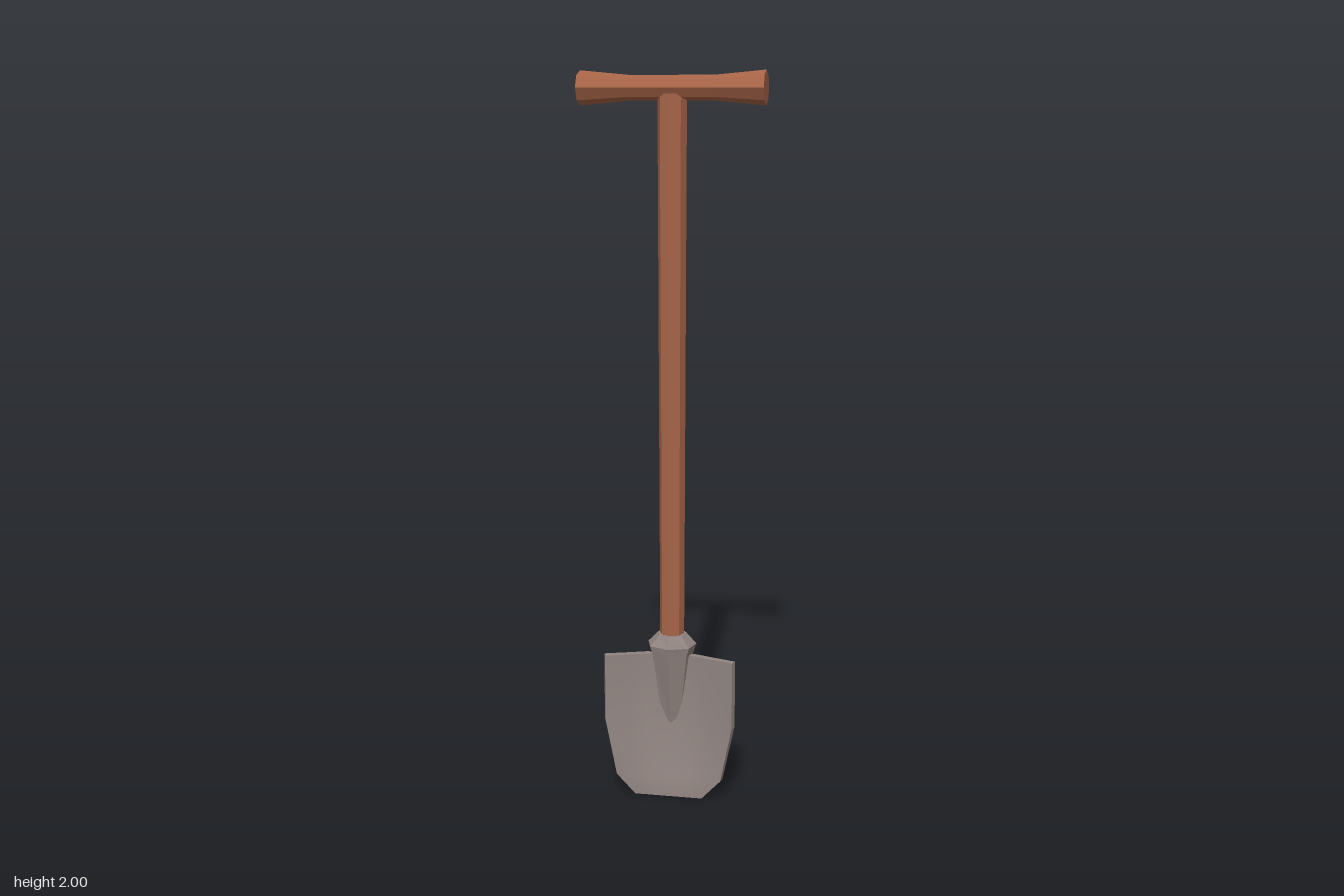
import * as THREE from 'three';

const wood = new THREE.MeshStandardMaterial({ color: 0xa86548 });
wood.name = 'wood';
const steel = new THREE.MeshStandardMaterial({ color: 0x908480 });
steel.name = 'steel';

// Gives every face its own flat normal
function facet(geometry) {
  const g = geometry.index ? geometry.toNonIndexed() : geometry;
  g.computeVertexNormals();
  return g;
}

function fromTriangles(positions, index) {
  const g = new THREE.BufferGeometry();
  g.setAttribute('position', new THREE.Float32BufferAttribute(positions.flat(), 3));
  g.setIndex(index);
  g.computeVertexNormals();
  return g;
}

function addMesh(group, name, geometry, material) {
  const mesh = new THREE.Mesh(geometry, material);
  mesh.name = name;
  group.add(mesh);
}

// Closed skin through rings listed from top to bottom
function loft(rings) {
  const n = rings[0].length;
  const index = [];
  for (let r = 0; r < rings.length - 1; r++) {
    for (let i = 0; i < n; i++) {
      const j = (i + 1) % n, a = r * n, b = a + n;
      index.push(a + i, b + i, b + j, a + i, b + j, a + j);
    }
  }
  const last = (rings.length - 1) * n;
  for (let i = 1; i < n - 1; i++) {
    index.push(0, i, i + 1, last, last + i + 1, last + i);
  }
  return facet(fromTriangles(rings.flat(), index));
}

// Flared eight-sided grip lying along x
function gripGeometry() {
  const profile = [[0, -0.245], [0.06, -0.245], [0.0435, -0.113],
    [0.0435, 0.113], [0.06, 0.245], [0, 0.245]];
  const g = new THREE.LatheGeometry(profile.map(([r, y]) => new THREE.Vector2(r, y)), 8);
  g.rotateZ(Math.PI / 2);
  g.scale(1, 0.75, 1);
  g.translate(0, 1.955, -0.005);
  return facet(g);
}

// Seven-sided socket: a ridge in front, a flat face behind
function socketGeometry() {
  const sections = [ // y, half width, half depth, centre z
    [0.47, 0.04, 0.043, 0.001],
    [0.44, 0.07, 0.056, 0.006],
    [0.41, 0.06, 0.051, 0.006],
    [0.2, 0.03, 0.019, -0.001],
  ];
  return loft(sections.map(([y, rx, rz, cz]) => Array.from({ length: 7 }, (_, i) => {
    const a = (i * 2 * Math.PI) / 7;
    return [rx * Math.sin(a), y, cz + rz * Math.cos(a)];
  })));
}

// Dished blade: front and back sheets plus a rim between them
function addBlade(group) {
  const rows = [ // y, half width, dish depth, side flare of the back
    [0.412, 0.179, 0.046, 0.006],
    [0.22, 0.179, 0.046, 0.006],
    [0.06, 0.148, 0.003, 0.004],
    [0.004, 0.095, 0, 0.002],
  ];
  const columns = [[-1, 0], [-0.64, 0.47], [-0.39, 0.82], [0, 1], [0.39, 0.82], [0.64, 0.47], [1, 0]];
  const n = columns.length;
  const front = [], back = [];
  rows.forEach(([y, w, dish, flare], r) => {
    const foot = r === rows.length - 1 ? 0.004 : 0;
    columns.forEach(([t, d]) => {
      front.push([t * w, y, 0.062 - dish * d]);
      back.push([t * (w + flare), y - foot, 0.044 - dish * d]);
    });
  });

  const frontIndex = [], backIndex = [];
  for (let r = 0; r < rows.length - 1; r++) {
    for (let c = 0; c < n - 1; c++) {
      const a = r * n + c, b = a + n;
      frontIndex.push(a, b, b + 1, a, b + 1, a + 1);
      backIndex.push(a, b + 1, b, a, a + 1, b + 1);
    }
  }
  addMesh(group, 'bladeFront', fromTriangles(front, frontIndex), steel);
  addMesh(group, 'bladeBack', fromTriangles(back, backIndex), steel);

  // Outline walked down the left column, along the foot, up and back
  const loop = [];
  const end = rows.length - 1;
  for (let r = 0; r < end; r++) loop.push(r * n);
  for (let c = 0; c < n - 1; c++) loop.push(end * n + c);
  for (let r = end; r > 0; r--) loop.push(r * n + n - 1);
  for (let c = n - 1; c > 0; c--) loop.push(c);
  const rimIndex = [];
  const offset = front.length;
  loop.forEach((a, i) => {
    const b = loop[(i + 1) % loop.length];
    rimIndex.push(a, a + offset, b + offset, a, b + offset, b);
  });
  addMesh(group, 'bladeRim', facet(fromTriangles([...front, ...back], rimIndex)), steel);
}

export function createModel() {
  const model = new THREE.Group();
  model.name = 'spade';

  addMesh(model, 'grip', gripGeometry(), wood);

  const shaft = new THREE.CylinderGeometry(0.039, 0.034, 1.5, 8);
  shaft.translate(0, 1.19, -0.002);
  addMesh(model, 'shaft', facet(shaft), wood);

  addMesh(model, 'socket', socketGeometry(), steel);

  const blade = new THREE.Group();
  blade.name = 'blade';
  addBlade(blade);
  model.add(blade);

  return model;
}
